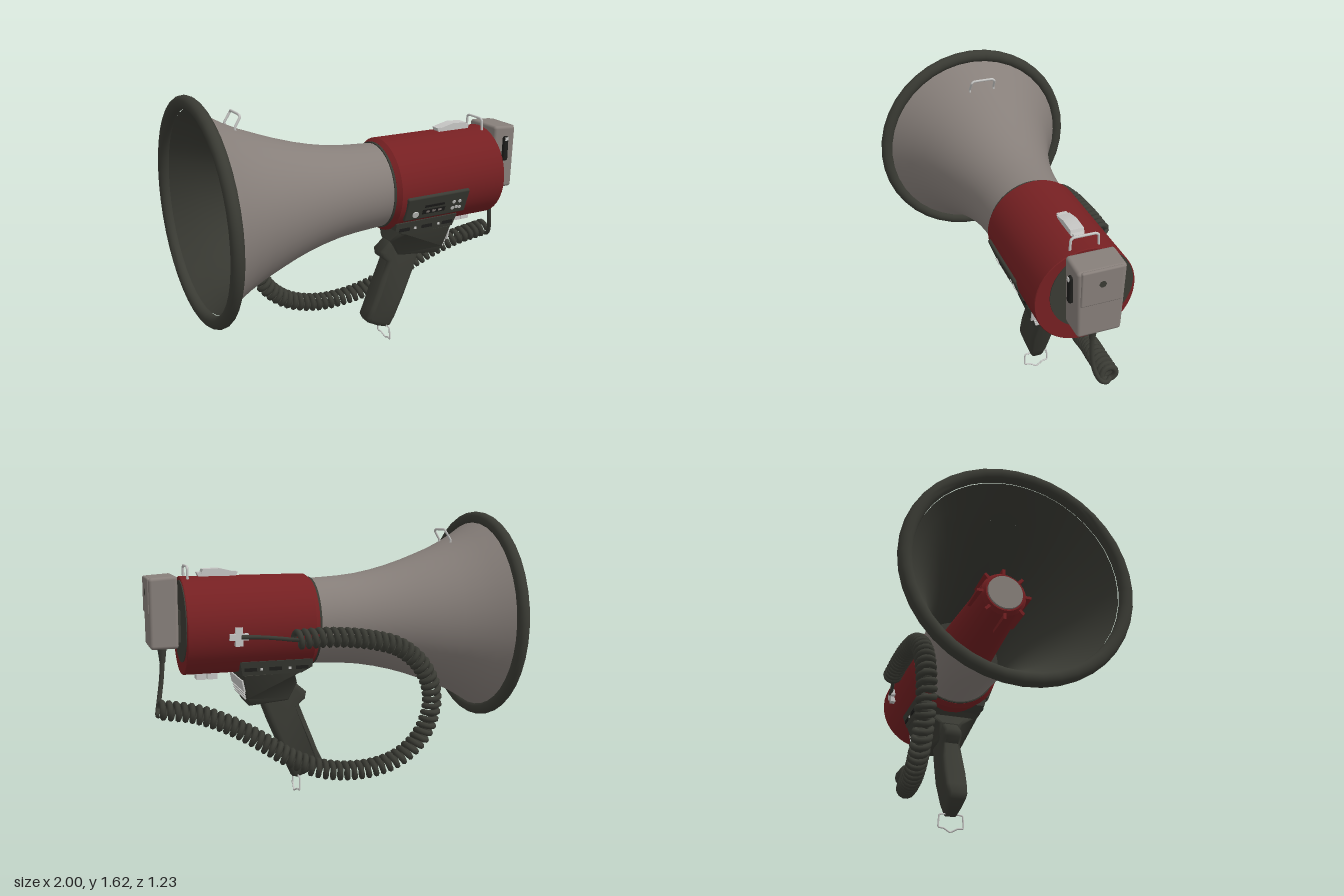
import * as THREE from 'three';
import { toCreasedNormals } from 'three/addons/utils/BufferGeometryUtils.js';
import { RoundedBoxGeometry } from 'three/addons/geometries/RoundedBoxGeometry.js';

const mat = (name, color) => Object.assign(new THREE.MeshStandardMaterial({ color }), { name });
const clamp01 = v => THREE.MathUtils.clamp(v, 0, 1);
const AXIS = 1.006; // height of the horn axis

export function createModel() {
  const red = mat('red plastic', 0x762022);
  const grey = mat('warm grey', 0x877f7a);
  const dark = mat('dark rubber', 0x3a3b34);
  const black = mat('black', 0x1d1d1b);
  const metal = mat('light metal', 0xc6c6c4);
  const root = new THREE.Group();
  root.name = 'megaphone';

  const add = (name, geo, material, x = 0, y = 0, z = 0, parent = root) => {
    const m = new THREE.Mesh(geo, material);
    m.name = name;
    m.position.set(x, y, z);
    parent.add(m);
    return m;
  };
  const box = (name, material, size, pos, parent) =>
    add(name, new THREE.BoxGeometry(...size), material, ...pos, parent);
  // Turned part along x, profile given as [x, radius]; rising x faces outward
  const turned = (name, pts, material, crease = 0.6) => {
    const g = new THREE.LatheGeometry(pts.map(([x, r]) => new THREE.Vector2(r, x)), 40);
    g.rotateZ(-Math.PI / 2);
    return add(name, toCreasedNormals(g, crease), material, 0, AXIS, 0);
  };
  const wire = (name, pts, r, material, seg = 40, tension = 0.15) => {
    const c = new THREE.CatmullRomCurve3(pts.map(p => new THREE.Vector3(...p)), false, 'catmullrom', tension);
    return add(name, new THREE.TubeGeometry(c, seg, r, 8), material);
  };
  // Side outline in x/y, with half width in z taken from a rule of y and x
  const slab = (name, pts, width, material, bevel, crease = 0.7) => {
    const g = new THREE.ExtrudeGeometry(new THREE.Shape(pts.map(p => new THREE.Vector2(...p))), {
      depth: 1, bevelEnabled: bevel > 0, bevelSize: bevel, bevelOffset: -bevel,
      bevelThickness: 0.25, bevelSegments: 3,
    });
    const p = g.attributes.position, full = bevel > 0 ? 0.75 : 0.5;
    for (let i = 0; i < p.count; i++) p.setZ(i, (p.getZ(i) - 0.5) / full * width(p.getY(i), p.getX(i)));
    return add(name, toCreasedNormals(g, crease), material);
  };

  // Horn
  const bell = [[-0.95, 0.55], [-0.87, 0.499], [-0.8, 0.459], [-0.7, 0.412], [-0.6, 0.374], [-0.5, 0.338],
    [-0.4, 0.307], [-0.3, 0.282], [-0.2, 0.263], [-0.1, 0.252], [0, 0.246], [0.1, 0.241]];
  turned('hornOuter', bell, grey, 1);
  const lining = bell.slice(0, 11).reverse().map(([x, r]) => [x, r - 0.008]);
  turned('hornLining', [[0, 0.001], ...lining], dark, 1);
  const rim = [];
  for (let i = 0; i <= 16; i++) {
    const t = i / 16 * Math.PI * 2;
    rim.push([-0.966 + 0.034 * Math.sin(t), 0.577 + 0.036 * Math.cos(t)]);
  }
  turned('hornRim', rim, dark, 1);

  // Inner reflector with fins
  turned('reflector', [[-0.77, 0.001], [-0.77, 0.105], [-0.75, 0.122], [-0.58, 0.132], [-0.3, 0.15], [0, 0.17]], red);
  turned('reflectorCap', [[-0.778, 0.001], [-0.778, 0.094], [-0.77, 0.096]], grey);
  for (let i = 0; i < 8; i++) {
    const a = i / 8 * Math.PI * 2;
    const fin = box('reflectorFin', red, [0.16, 0.044, 0.016],
      [-0.68, AXIS + Math.cos(a) * 0.125, Math.sin(a) * 0.125]);
    fin.rotation.x = a;
  }

  // Body, with an off-centre dark end plate
  turned('bodySeam', [[0.08, 0.238], [0.08, 0.249], [0.1, 0.249]], dark);
  turned('body', [[0.092, 0.2], [0.092, 0.25], [0.118, 0.269], [0.813, 0.269], [0.817, 0.266], [0.817, 0.001]], red);
  const endPlate = turned('bodyEndPlate', [[0.81, 0.222], [0.822, 0.222], [0.822, 0.001]], dark);
  endPlate.position.set(0, AXIS + 0.028, -0.032);

  // Control panel
  const panel = new THREE.Group();
  panel.name = 'controlPanel';
  panel.position.set(0.357, AXIS, 0);
  panel.rotation.x = 0.36;
  root.add(panel);
  add('panelPlate', new RoundedBoxGeometry(0.415, 0.155, 0.07, 2, 0.01), dark, 0, 0, 0.24, panel);
  const knob = add('panelKnob', new THREE.CylinderGeometry(0.02, 0.02, 0.012, 16), metal, -0.14, -0.035, 0.276, panel);
  knob.rotation.x = Math.PI / 2;
  box('panelSlot', black, [0.13, 0.016, 0.006], [-0.02, 0.012, 0.275], panel);
  box('panelSlot', black, [0.15, 0.03, 0.006], [-0.02, -0.026, 0.275], panel);
  for (const x of [-0.06, -0.02, 0.02]) box('panelSwitch', grey, [0.022, 0.012, 0.008], [x, -0.026, 0.276], panel);
  for (const [x, y] of [[0.11, 0.01], [0.15, 0.01], [0.11, -0.035], [0.135, -0.03], [0.16, -0.035]]) {
    const b = add('panelButton', new THREE.CylinderGeometry(0.011, 0.011, 0.008, 12), metal, x, y, 0.275, panel);
    b.rotation.x = Math.PI / 2;
  }

  // Handle bracket: flange under the body, tapering into the grip
  const flangeWidth = y => 0.13 + (y - 0.56) / 0.26 * 0.075;
  slab('bracketFlange', [[0.12, 0.82], [0.12, 0.775], [0.18, 0.742], [0.513, 0.742], [0.53, 0.82]],
    flangeWidth, dark, 0);
  const neckWidth = (y, x) => THREE.MathUtils.lerp(
    0.06 + 0.12 * clamp01((y - 0.65) / 0.09), flangeWidth(y), clamp01((x - 0.22) / 0.24));
  slab('bracketNeck', [[0.17, 0.75], [0.2, 0.72], [0.17, 0.66], [0.22, 0.56],
    [0.46, 0.555], [0.485, 0.6], [0.515, 0.75]], neckWidth, dark, 0.012, 0.9);
  const gripWidth = y => Math.max(0.035, 0.066 - 0.5 * Math.max(0, 0.27 - y) ** 1.6 - 0.05 * Math.max(0, y - 0.35));
  slab('grip', [[0.22, 0.7], [0.19, 0.67], [0.11, 0.6], [0.118, 0.56], [0.155, 0.53], [0.12, 0.44], [0.08, 0.34],
    [0.045, 0.25], [0.015, 0.19], [0.03, 0.155], [0.1, 0.115], [0.16, 0.092], [0.19, 0.1], [0.215, 0.16],
    [0.27, 0.3], [0.33, 0.44], [0.375, 0.56], [0.4, 0.7]], gripWidth, dark, 0.028, 1.2);
  const rearX = y => 0.485 + (y - 0.6) * 0.045 / 0.22 + 0.002;
  for (const [y, h, w] of [[0.68, 0.064, 0.325], [0.636, 0.009, 0.285], [0.62, 0.009, 0.275], [0.605, 0.009, 0.265]]) {
    const p = box('bracketRearPlate', metal, [0.009, h, w], [rearX(y), y, 0]);
    p.rotation.z = -0.2;
  }
  for (const s of [-1, 1]) {
    for (const x of [0.18, 0.33, 0.47]) box('bracketSlot', black, [0.07, 0.02, 0.008], [x, 0.775, s * 0.192]);
    for (const x of [0.25, 0.41]) box('bracketScrew', metal, [0.014, 0.014, 0.008], [x, 0.775, s * 0.192]);
  }
  // Wrist loop
  wire('wristLoop', [[0.16, 0.105, 0.03], [0.16, 0.1, 0.068], [0.163, 0.03, 0.073], [0.168, 0.026, 0.04], [0.175, 0.006, 0],
    [0.168, 0.026, -0.04], [0.163, 0.03, -0.073], [0.16, 0.1, -0.068], [0.16, 0.105, -0.03]], 0.005, metal, 64);

  // Strap staples and clips
  const staple = (name, x0, y0, x1, y1) => wire(name, [[x0, y0 - 0.02, 0.075], [x0, y0, 0.075],
    [x1, y1 - 0.012, 0.072], [x1, y1, 0.055], [x1, y1, -0.055], [x1, y1 - 0.012, -0.072],
    [x0, y0, -0.075], [x0, y0 - 0.02, -0.075]], 0.007, metal, 64);
  staple('hornStaple', -0.765, 1.455, -0.735, 1.515);
  staple('bodyStaple', 0.78, 1.265, 0.78, 1.33);
  slab('topLatch', [[0.51, 1.265], [0.495, 1.296], [0.6, 1.302], [0.722, 1.295], [0.71, 1.265]], () => 0.027, metal, 0);
  slab('topLatchLever', [[0.515, 1.296], [0.6, 1.316], [0.69, 1.312], [0.7, 1.285], [0.58, 1.285]], () => 0.036, metal, 0);
  for (const x of [0.65, 0.71]) box('bottomLatch', metal, [0.055, 0.045, 0.07], [x, 0.727, 0]);

  // Microphone
  const micGeo = new RoundedBoxGeometry(0.152, 0.385, 0.25, 3, 0.018);
  const mp = micGeo.attributes.position;
  for (let i = 0; i < mp.count; i++) {
    const y = mp.getY(i);
    mp.setZ(i, mp.getZ(i) * (0.97 + y * 0.25));
    if (y > 0.15) mp.setY(i, y - mp.getX(i) * 0.07);
  }
  add('microphone', micGeo, grey, 0.916, 1.088, 0);
  add('microphoneFace', new RoundedBoxGeometry(0.02, 0.195, 0.215, 3, 0.009), grey, 0.989, 1.178, 0);
  const hole = add('microphoneHole', new THREE.CylinderGeometry(0.018, 0.018, 0.004, 16), dark, 0.998, 1.195, 0);
  hole.rotation.z = Math.PI / 2;
  add('talkButton', new RoundedBoxGeometry(0.036, 0.15, 0.05, 2, 0.012), black, 0.92, 1.145, 0.117);
  box('talkButtonTip', metal, [0.022, 0.02, 0.008], [0.92, 1.205, 0.14]);
  box('microphoneMount', dark, [0.05, 0.17, 0.14], [0.825, 1.01, 0]);
  add('strainRelief', new THREE.CylinderGeometry(0.027, 0.015, 0.1, 12), dark, 0.917, 0.855, 0);

  // Cord: straight lead, coil, lead to the plug
  wire('microphoneLead', [[0.917, 0.82, 0], [0.925, 0.72, 0], [0.94, 0.62, -0.01], [0.955, 0.55, -0.04],
    [0.96, 0.53, -0.075], [0.945, 0.54, -0.1]], 0.013, dark, 40, 0.5);
  const path = new THREE.CatmullRomCurve3([[0.955, 0.567, -0.09], [0.75, 0.53, -0.11], [0.58, 0.465, -0.145],
    [0.42, 0.375, -0.185], [0.26, 0.275, -0.235], [0.08, 0.207, -0.28], [-0.15, 0.193, -0.305], [-0.34, 0.247, -0.325],
    [-0.47, 0.36, -0.335], [-0.53, 0.5, -0.34], [-0.53, 0.64, -0.345], [-0.47, 0.77, -0.345], [-0.34, 0.88, -0.345],
    [-0.15, 0.935, -0.345], [0.08, 0.957, -0.345], [0.26, 0.953, -0.345]].map(p => new THREE.Vector3(...p)));
  path.arcLengthDivisions = 600;
  const TURNS = 70;
  class Coil extends THREE.Curve {
    getPoint(t, out = new THREE.Vector3()) {
      const u = clamp01(t);
      const dir = path.getTangentAt(u);
      const side = new THREE.Vector3(0, 0, 1).addScaledVector(dir, -dir.z).normalize();
      const up = new THREE.Vector3().crossVectors(dir, side);
      const a = u * TURNS * Math.PI * 2;
      return out.copy(path.getPointAt(u)).addScaledVector(side, 0.041 * Math.cos(a)).addScaledVector(up, 0.041 * Math.sin(a));
    }
    getPointAt(t, out) { return this.getPoint(t, out); }
    getTangentAt(t, out) { return this.getTangent(t, out); }
  }
  add('coiledCord', new THREE.TubeGeometry(new Coil(), TURNS * 14, 0.0165, 7), dark);
  wire('plugLead', [[0.25, 0.955, -0.388], [0.285, 0.955, -0.355], [0.35, 0.96, -0.32], [0.44, 0.967, -0.3],
    [0.54, 0.97, -0.288]], 0.011, dark, 30, 0.5);
  box('plugPlate', metal, [0.1, 0.035, 0.03], [0.55, 0.97, -0.274]);
  box('plugPlate', metal, [0.04, 0.1, 0.03], [0.55, 0.97, -0.271]);

  return root;
}
